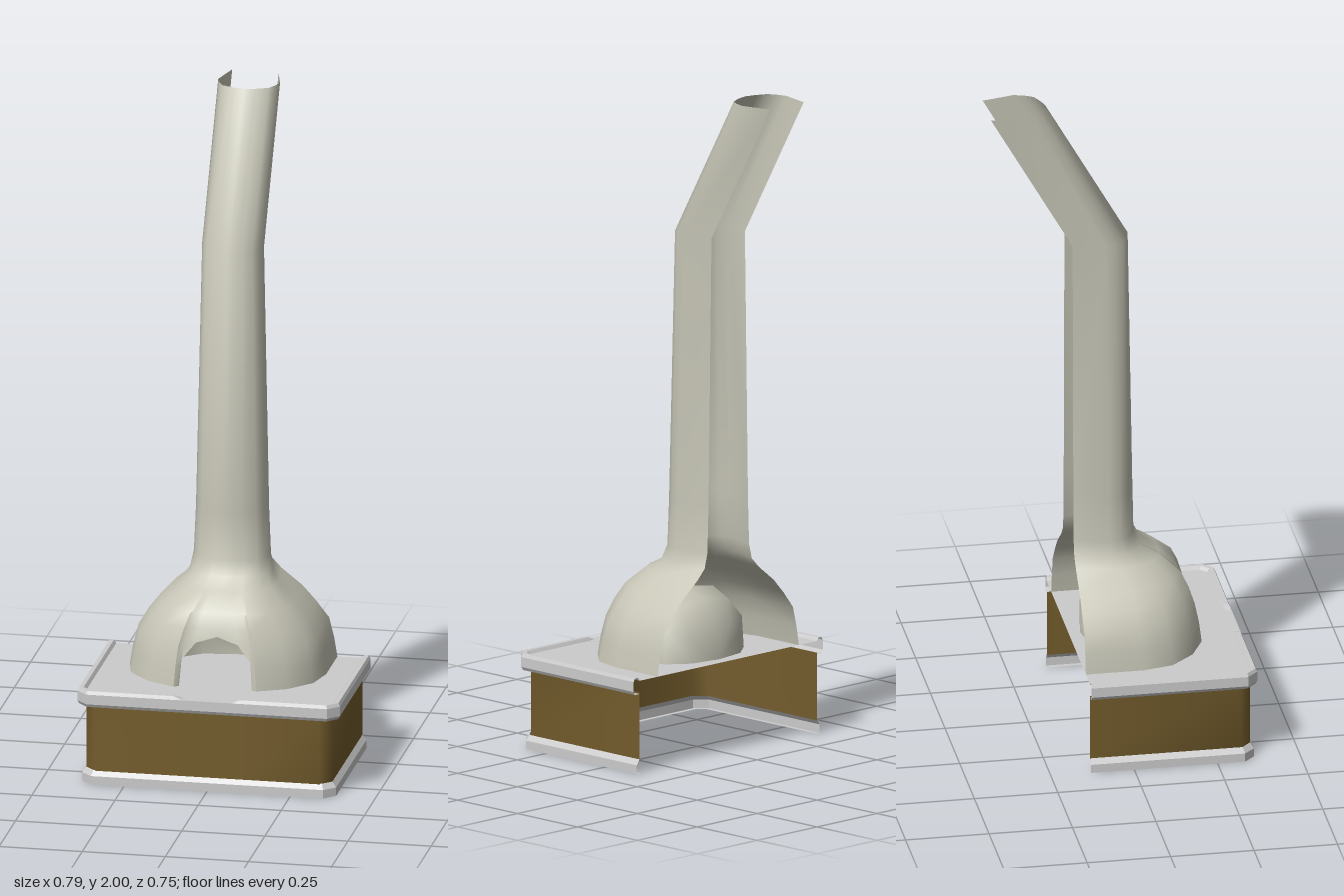
import * as THREE from 'three';
import { toCreasedNormals } from 'three/addons/utils/BufferGeometryUtils.js';

const BACK = -0.13; // open side that stands against the wall

const material = (color) => new THREE.MeshStandardMaterial({ color, side: THREE.DoubleSide });

// Skin rows of points (all the same length), leaving out empty triangles
function skin(rows, crease) {
  const pos = [];
  const tri = new THREE.Triangle();
  const add = (a, b, c) => {
    if (tri.set(a, b, c).getArea() < 1e-7) return;
    for (const p of [a, b, c]) pos.push(p.x, p.y, p.z);
  };
  for (let i = 0; i < rows.length - 1; i++) {
    for (let j = 0; j < rows[i].length - 1; j++) {
      const a = rows[i][j], b = rows[i][j + 1], c = rows[i + 1][j + 1], d = rows[i + 1][j];
      add(a, b, c);
      add(a, c, d);
    }
  }
  const geo = new THREE.BufferGeometry();
  geo.setAttribute('position', new THREE.Float32BufferAttribute(pos, 3));
  return toCreasedNormals(geo, crease);
}

// Three-sided outline with chamfered front corners, as [x, z]
function outline(w, front, c) {
  const half = [[w, BACK], [w, front - c], [w - c, front], [0.1, front], [0.075, front]];
  return [...half.map(([x, z]) => [-x, z]), ...half.reverse()];
}

// Sweep a profile of [inset, y] around the outline
function band(w, front, profile, crease, dip = Infinity) {
  return skin(profile.map(([inset, y]) =>
    outline(w - inset, front - inset, 0.033 - inset * 0.586).map(([x, z]) =>
      new THREE.Vector3(x, Math.abs(x) < 0.08 ? Math.min(y, dip) : y, z))), crease);
}

// Hood and flue: [y, half width, front z, blend from hood to flue section]
const LEVELS = [
  [0.28, 0.295, 0.247, 0], [0.34, 0.285, 0.24, 0], [0.40, 0.27, 0.228, 0],
  [0.45, 0.237, 0.214, 0.1], [0.495, 0.2, 0.194, 0.2], [0.545, 0.145, 0.14, 0.5],
  [0.575, 0.125, 0.085, 0.85], [0.62, 0.116, 0.064, 1], [0.76, 0.11, 0.061, 1],
  [1.57, 0.093, 0.047, 1], [2, 0.093, 0.047, 1],
];
const HOOD = [[1, 0], [1, 0.46], [0.93, 0.7], [0.71, 0.89], [0.42, 1], [0.37, 0.975], [0.37, 0.975], [0.24, 0.975], [0, 0.975]];
const FLUE = [[0.75, 0], [1, 0.54], [0.9, 0.72], [0.75, 0.86], [0.42, 0.94], [0.37, 0.95], [0.37, 0.95], [0.24, 0.97], [0, 1]];
const START = [0, 0, 0, 0, 0, 0, 0.36, 0.41, 0.43]; // arch cut into the hood front

function hoodPoint(k, side, y) {
  let i = 0;
  while (i < LEVELS.length - 2 && y > LEVELS[i + 1][0]) i++;
  const f = (y - LEVELS[i][0]) / (LEVELS[i + 1][0] - LEVELS[i][0]);
  const mix = (n) => THREE.MathUtils.lerp(LEVELS[i][n], LEVELS[i + 1][n], f);
  const t = mix(3);
  const u = THREE.MathUtils.lerp(HOOD[k][0], FLUE[k][0], t);
  const v = THREE.MathUtils.lerp(HOOD[k][1], FLUE[k][1], t);
  const lean = -0.245 * Math.max(0, (y - 1.57) / 0.43);
  return new THREE.Vector3(side * u * mix(1), y, BACK + v * (mix(2) - BACK) + lean);
}

export function createModel() {
  const group = new THREE.Group();
  const add = (name, geo, mat) => {
    const mesh = new THREE.Mesh(geo, mat);
    mesh.name = name;
    group.add(mesh);
  };
  const stone = material(0xcccccc);
  const plaster = material(0xc6c5b6);
  const brown = material(0x735c2c);

  // Base
  add('skirting', band(0.382, 0.365, [[0.014, 0], [0, 0], [0, 0.026], [0.012, 0.042]], 0.3), stone);
  add('baseWall', band(0.37, 0.355, [[0, 0.04], [0, 0.245]], 0.9), brown);

  // Hearth slab: raised rim that dips at the front, and a flat top
  add('hearthRim', band(0.395, 0.372, [
    [0.025, 0.24], [0.006, 0.24], [0, 0.25], [0, 0.28], [0.005, 0.29], [0.018, 0.29], [0.025, 0.28],
  ], 0.3, 0.28), stone);
  const top = new THREE.Shape(outline(0.37, 0.347, 0.018).map(([x, z]) => new THREE.Vector2(x, z)));
  const topGeo = new THREE.ShapeGeometry(top);
  topGeo.rotateX(Math.PI / 2).translate(0, 0.28, 0);
  add('hearthTop', topGeo, stone);

  // Hood flowing into the bent flue
  const columns = [];
  for (let k = 0; k < 9; k++) columns.push([k, -1]);
  for (let k = 7; k >= 0; k--) columns.push([k, 1]);
  add('hoodAndFlue', skin(LEVELS.map(([y]) =>
    columns.map(([k, s]) => hoodPoint(k, s, Math.max(y, START[k])))), 0.9), plaster);

  // Firebox: arched sections swelling behind the opening, closed at the back
  const mouth = [[5, -1, 0.28], [6, -1, 0.36], [7, -1, 0.41], [8, 1, 0.43], [7, 1, 0.41], [6, 1, 0.36], [5, 1, 0.28]];
  const arch = [[-1, 0], [-0.95, 0.55], [-0.6, 0.9], [0, 1], [0.6, 0.9], [0.95, 0.55], [1, 0]];
  const sections = [
    [0.19, 0.12, 0.15], [0.14, 0.17, 0.185], [0.05, 0.195, 0.2],
    [-0.03, 0.165, 0.175], [-0.08, 0.1, 0.11], [-0.095, 0, 0],
  ];
  add('firebox', skin([
    mouth.map(([k, s, y]) => hoodPoint(k, s, y)),
    ...sections.map(([z, w, h]) => arch.map(([x, y]) => new THREE.Vector3(x * w, 0.28 + y * h, z))),
  ], 0.9), plaster);

  return group;
}
